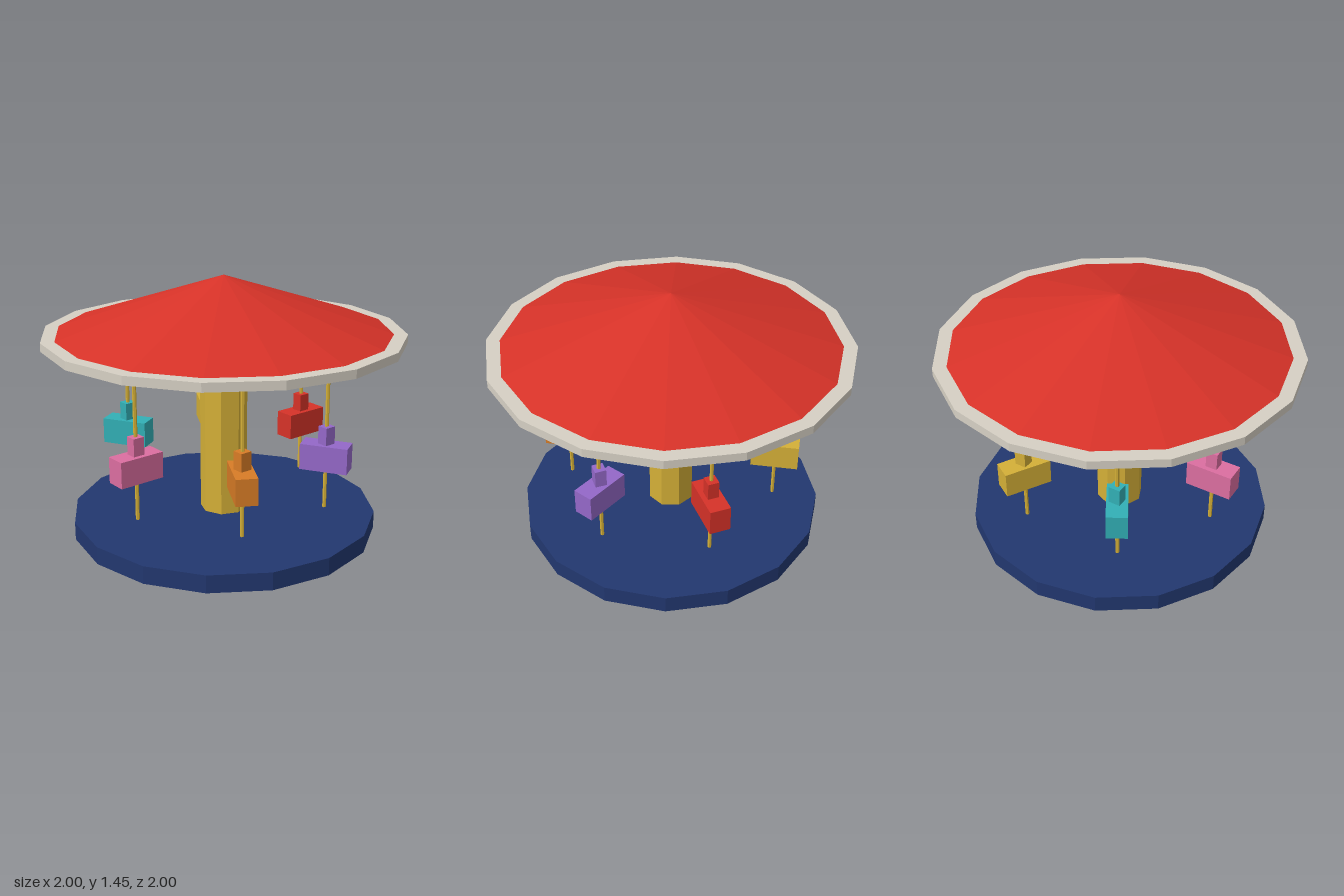
import * as THREE from 'three';

const paint = (name, color) => {
  const m = new THREE.MeshStandardMaterial({ color, flatShading: true });
  m.name = name;
  return m;
};

export function createModel() {
  const red = paint('red', 0xd63228);
  const cream = paint('cream', 0xd6d0c4);
  const gold = paint('gold', 0xd4af37);
  const navy = paint('navy', 0x22376f);
  const purple = paint('purple', 0x9468c8);
  const orange = paint('orange', 0xd87c26);
  const pink = paint('pink', 0xdb6ea0);
  const teal = paint('teal', 0x32b0b6);

  const carousel = new THREE.Group();
  carousel.name = 'carousel';

  const add = (parent, name, geometry, material, y) => {
    const mesh = new THREE.Mesh(geometry, material);
    mesh.name = name;
    mesh.position.y = y;
    parent.add(mesh);
    return mesh;
  };

  // Faceted upright prism spanning y0 to y1
  const prism = (parent, name, radius, sides, y0, y1, material) =>
    add(parent, name, new THREE.CylinderGeometry(radius, radius, y1 - y0, sides), material, (y0 + y1) / 2);

  // Platform, centre column and canopy
  prism(carousel, 'platform', 0.865, 16, 0, 0.1, navy);
  prism(carousel, 'column', 0.133, 8, 0.1, 1.1, gold);
  prism(carousel, 'canopyRim', 1, 16, 1.098, 1.145, cream);
  add(carousel, 'canopyRoof', new THREE.ConeGeometry(0.925, 0.307, 16), red, 1.2985);

  // Six riders on poles; bodies point outward, heads stay square to the axes
  [red, purple, orange, pink, teal, gold].forEach((material, i) => {
    const angle = (i * Math.PI) / 3;
    const rider = new THREE.Group();
    rider.name = `rider${i + 1}`;
    rider.position.set(0.6 * Math.cos(angle), 0, 0.6 * Math.sin(angle));
    carousel.add(rider);

    prism(rider, 'pole', 0.011, 6, 0.185, 1.1, gold);
    const body = add(rider, 'body', new THREE.BoxGeometry(0.266, 0.147, 0.116), material, 0.4875);
    body.rotation.y = -angle;
    add(rider, 'head', new THREE.BoxGeometry(0.066, 0.1, 0.062), material, 0.611);
  });

  return carousel;
}
